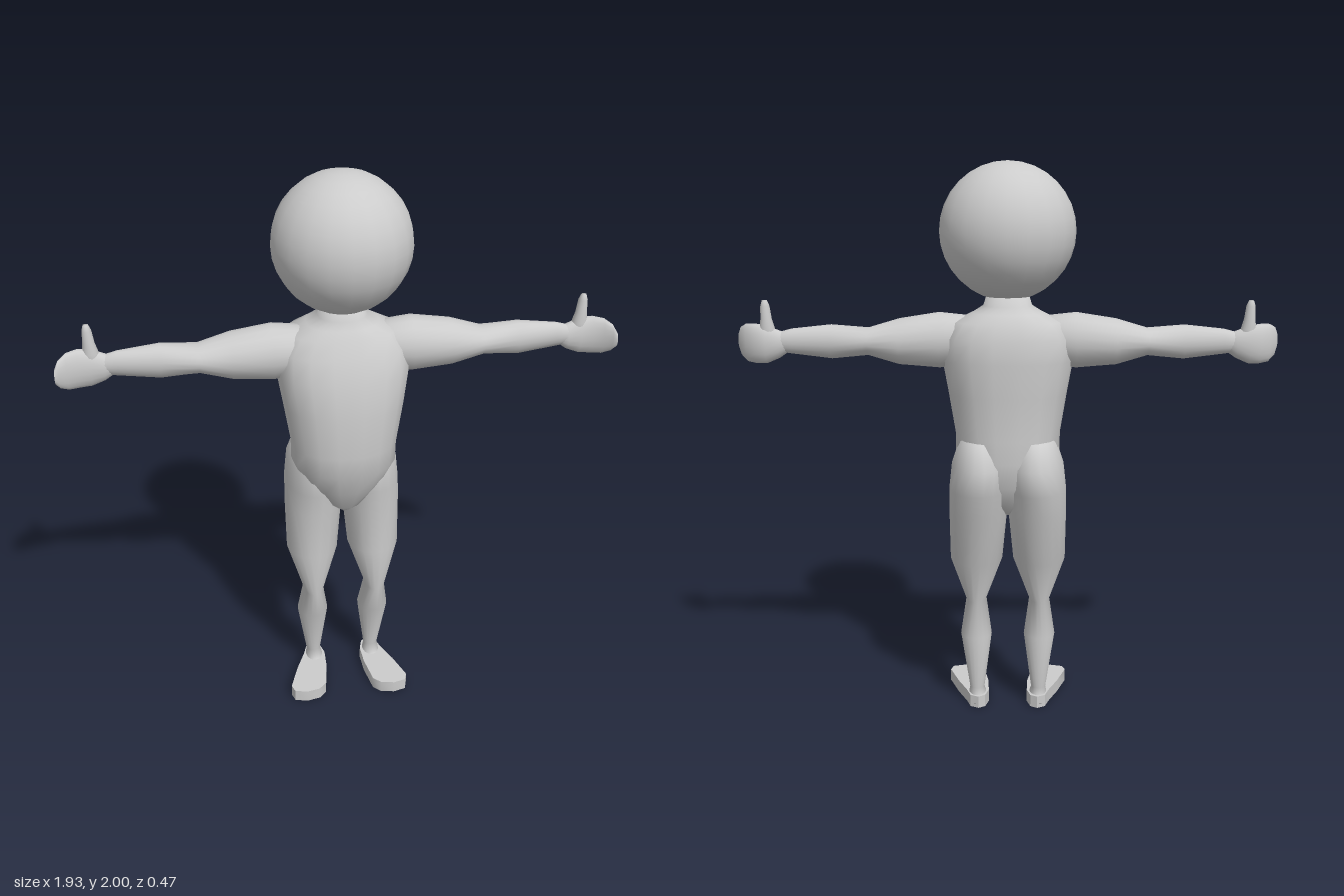
import * as THREE from 'three';
import { toCreasedNormals } from 'three/addons/utils/BufferGeometryUtils.js';

const material = new THREE.MeshStandardMaterial({ color: 0xcccccc, roughness: 0.8 });
const SIDES = 18;

// Skins oval rings [t, a0, a1, b0, b1]: t runs along the axis, a and b are the ring's extents.
// axis 'y' maps (a, t, b) to xyz; axis 'x' maps (t, a, b). side -1 mirrors in x.
function loft(rings, axis = 'y', side = 1, power = 2) {
  const pos = [], index = [];
  const add = (t, a, b) => (axis === 'y' ? pos.push(a * side, t, b) : pos.push(t * side, a, b));
  const tri = (p, q, r) => ((axis === 'y') === (side > 0) ? index.push(p, q, r) : index.push(p, r, q));
  const bulge = (v) => Math.sign(v) * Math.pow(Math.abs(v), 2 / power);
  for (const [t, a0, a1, b0, b1] of rings) {
    for (let j = 0; j < SIDES; j++) {
      const w = (j / SIDES) * Math.PI * 2;
      add(t, (a0 + a1) / 2 + bulge(Math.cos(w)) * (a1 - a0) / 2,
        (b0 + b1) / 2 + bulge(Math.sin(w)) * (b1 - b0) / 2);
    }
  }
  const last = rings.length - 1;
  for (let i = 0; i < last; i++) {
    for (let j = 0; j < SIDES; j++) {
      const p = i * SIDES + j, q = i * SIDES + (j + 1) % SIDES;
      tri(p, p + SIDES, q);
      tri(q, p + SIDES, q + SIDES);
    }
  }
  // end caps
  for (const i of [0, last]) {
    const [t, a0, a1, b0, b1] = rings[i];
    const c = pos.length / 3;
    add(t, (a0 + a1) / 2, (b0 + b1) / 2);
    for (let j = 0; j < SIDES; j++) {
      const p = i * SIDES + j, q = i * SIDES + (j + 1) % SIDES;
      if (i === 0) tri(c, p, q); else tri(c, q, p);
    }
  }
  const g = new THREE.BufferGeometry();
  g.setAttribute('position', new THREE.Float32BufferAttribute(pos, 3));
  g.setIndex(index);
  g.computeVertexNormals();
  return g;
}

// Flat sole outline, x outward and z forward
function footGeometry(side) {
  const outline = [[0.085, -0.045], [0.11, -0.06], [0.14, -0.045], [0.155, 0], [0.19, 0.08], [0.225, 0.18],
    [0.215, 0.21], [0.17, 0.222], [0.12, 0.212], [0.093, 0.185], [0.075, 0.08], [0.072, 0]];
  const shape = new THREE.Shape(outline.map(([x, z]) => new THREE.Vector2(x * side, -z)));
  const g = new THREE.ExtrudeGeometry(shape, { depth: 0.046, bevelEnabled: false });
  g.rotateX(-Math.PI / 2);
  return toCreasedNormals(g, 0.7);
}

// Symmetric torso rings: [y, half width, back z, front z]
const TORSO = [
  [0.76, 0.02, -0.06, 0.07], [0.8, 0.07, -0.11, 0.118], [0.88, 0.145, -0.15, 0.155],
  [0.97, 0.187, -0.165, 0.192], [1.05, 0.188, -0.158, 0.2], [1.2, 0.212, -0.163, 0.2],
  [1.32, 0.232, -0.168, 0.178], [1.4, 0.228, -0.162, 0.148], [1.455, 0.19, -0.138, 0.118],
  [1.485, 0.125, -0.115, 0.1], [1.51, 0.085, -0.09, 0.08], [1.56, 0.07, -0.075, 0.07],
].map(([y, w, back, front]) => [y, -w, w, back, front]);

const LEG = [
  [0.015, 0.076, 0.15, -0.057, 0.06], [0.045, 0.082, 0.146, -0.048, 0.045], [0.07, 0.088, 0.142, -0.036, 0.01],
  [0.28, 0.06, 0.175, -0.06, 0.062], [0.41, 0.08, 0.155, -0.035, 0.105],
  [0.58, 0.02, 0.21, -0.105, 0.1], [0.77, 0.002, 0.212, -0.15, 0.108],
  [0.86, -0.005, 0.21, -0.192, 0.125], [0.95, -0.005, 0.2, -0.198, 0.13], [1.04, 0.03, 0.17, -0.15, 0.1],
];

const ARM = [
  [0.1, 1.31, 1.47, -0.08, 0.08], [0.24, 1.288, 1.485, -0.092, 0.088], [0.38, 1.3, 1.463, -0.09, 0.084],
  [0.49, 1.333, 1.43, -0.07, 0.07], [0.62, 1.32, 1.441, -0.05, 0.05],
  [0.76, 1.337, 1.426, -0.028, 0.03], [0.82, 1.345, 1.41, -0.022, 0.025],
];

// Flat palm whose fingers curl forward
const HAND = [
  [0.765, 1.35, 1.405, -0.018, 0.022], [0.805, 1.322, 1.42, -0.028, 0.028], [0.85, 1.303, 1.438, -0.036, 0.03],
  [0.89, 1.302, 1.443, -0.025, 0.035], [0.925, 1.306, 1.44, -0.003, 0.05],
  [0.95, 1.325, 1.425, 0.024, 0.07], [0.963, 1.35, 1.4, 0.055, 0.08],
];

const THUMB = [
  [1.36, 0.81, 0.875, -0.024, 0.024], [1.425, 0.818, 0.872, -0.024, 0.022], [1.46, 0.828, 0.868, -0.02, 0.018],
  [1.505, 0.834, 0.866, -0.018, 0.016], [1.525, 0.842, 0.86, -0.01, 0.008],
];

export function createModel() {
  const model = new THREE.Group();
  const part = (name, geometry, parent = model) => {
    const mesh = new THREE.Mesh(geometry, material);
    mesh.name = name;
    parent.add(mesh);
    return mesh;
  };

  part('head', new THREE.SphereGeometry(0.237, 20, 16)).position.y = 1.763;
  part('torso', loft(TORSO, 'y', 1, 2.3));

  for (const [label, side] of [['left', 1], ['right', -1]]) {
    const limbs = new THREE.Group();
    limbs.name = label + 'Limbs';
    model.add(limbs);
    part(label + 'Arm', loft(ARM, 'x', side), limbs);
    part(label + 'Hand', loft(HAND, 'x', side), limbs);
    part(label + 'Thumb', loft(THUMB, 'y', side), limbs);
    part(label + 'Leg', loft(LEG, 'y', side), limbs);
    part(label + 'Foot', footGeometry(side), limbs);
  }
  return model;
}
